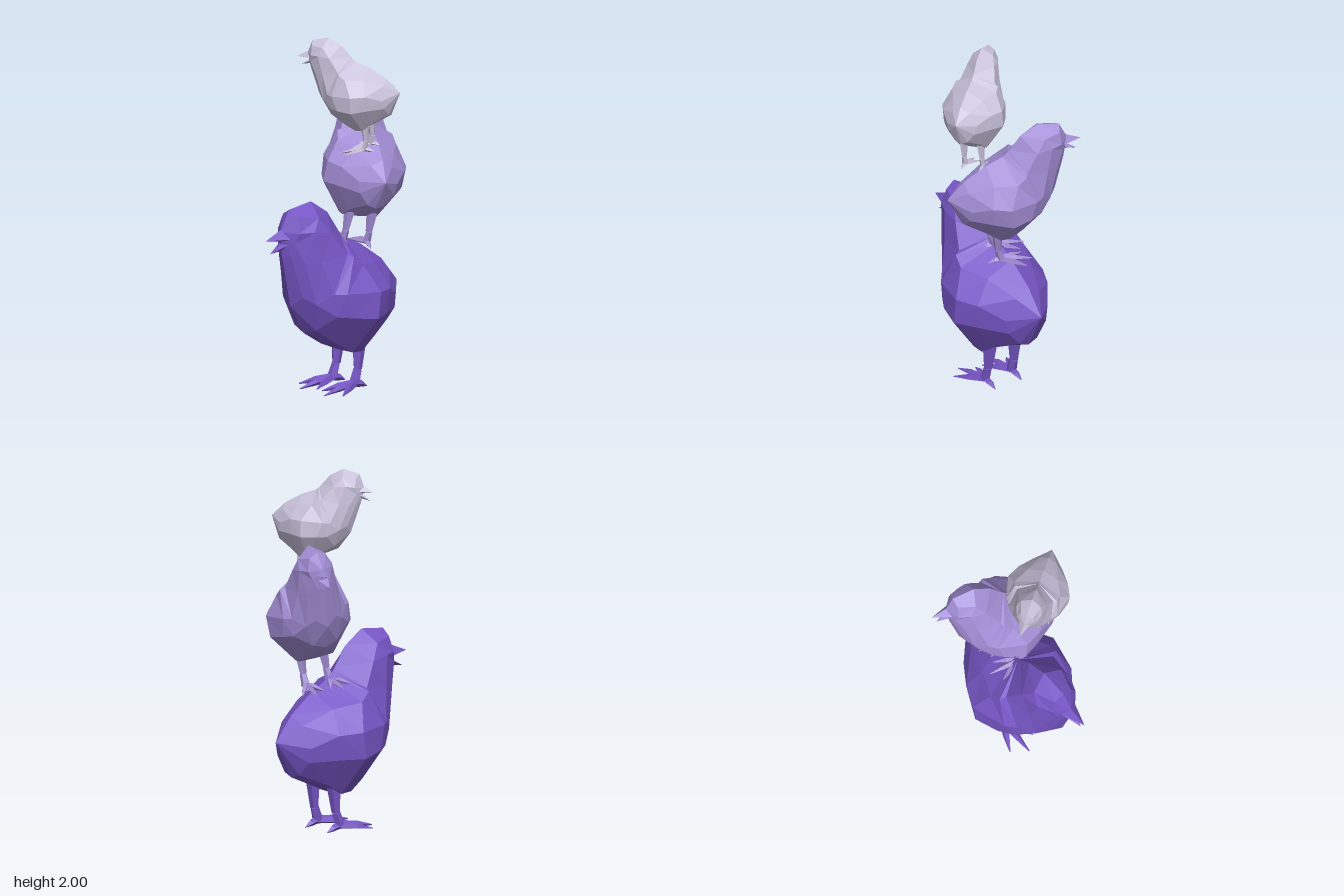
import * as THREE from 'three';
import { ConvexGeometry } from 'three/addons/geometries/ConvexGeometry.js';

const V = (x, y, z) => new THREE.Vector3(x, y, z);

// Half cross-sections from rump to face; each runs from the top centre down one side to the bottom centre.
const SECTIONS = [
  [[0, .68, -.365], [.08, .63, -.355], [.145, .51, -.345], [.13, .43, -.35], [.06, .35, -.36], [0, .33, -.365]],
  [[0, .79, -.21], [.15, .71, -.19], [.24, .58, -.22], [.235, .44, -.2], [.12, .28, -.2], [0, .26, -.21]],
  [[0, .85, -.09], [.22, .74, -.04], [.3, .59, -.1], [.3, .44, -.08], [.13, .22, -.11], [0, .215, -.11]],
  [[0, .88, -.06], [.21, .79, .02], [.25, .6, .1], [.26, .46, .06], [.13, .225, -.04], [0, .22, -.04]],
  [[0, .9, -.045], [.175, .8, .035], [.205, .6, .155], [.21, .47, .14], [.12, .28, .05], [0, .28, .08]],
  [[0, 1.01, .03], [.135, .93, .12], [.15, .78, .2], [.14, .54, .23], [.09, .38, .19], [0, .35, .2]],
  [[0, 1.09, .15], [.1, 1.02, .18], [.125, .95, .23], [.105, .78, .285], [.08, .58, .28], [0, .52, .3]],
  [[0, 1.07, .31], [.06, 1.035, .3], [.09, .95, .31], [.07, .89, .33], [.05, .82, .34], [0, .81, .36]],
];
const TAIL_TIP = [0, .54, -.48];
const FACE_CENTRE = [0, .95, .375];

// Faceted body lofted through the mirrored cross-sections.
function bodyGeometry() {
  const rings = SECTIONS.map(h => [...h, ...h.slice(1, 5).reverse().map(([x, y, z]) => [-x, y, z])]);
  const n = rings[0].length, pos = [];
  const tri = (...pts) => pts.forEach(p => pos.push(...p));
  for (let j = 0; j < n; j++) {
    const k = (j + 1) % n, last = rings[rings.length - 1];
    tri(TAIL_TIP, rings[0][j], rings[0][k]);
    tri(FACE_CENTRE, last[k], last[j]);
    for (let i = 0; i < rings.length - 1; i++) {
      const a = rings[i][j], b = rings[i][k], c = rings[i + 1][k], d = rings[i + 1][j];
      if (j < n / 2) { tri(a, d, c); tri(a, c, b); }
      else { tri(a, d, b); tri(b, d, c); }
    }
  }
  const g = new THREE.BufferGeometry();
  g.setAttribute('position', new THREE.Float32BufferAttribute(pos, 3));
  g.computeVertexNormals();
  return g;
}

// Tapered limb with few sides between two points.
function limb(a, b, ra, rb, sides = 5) {
  const dir = b.clone().sub(a);
  const g = new THREE.CylinderGeometry(rb, ra, dir.length(), sides);
  g.applyQuaternion(new THREE.Quaternion().setFromUnitVectors(V(0, 1, 0), dir.normalize()));
  const mid = a.clone().add(b).multiplyScalar(.5);
  return g.translate(mid.x, mid.y, mid.z);
}

function createChick(name, material) {
  const chick = new THREE.Group();
  chick.name = name;
  const add = (partName, geometry) => {
    const mesh = new THREE.Mesh(geometry, material);
    mesh.name = partName;
    chick.add(mesh);
  };
  add('body', bodyGeometry());

  // Open beak
  add('upperBeak', new ConvexGeometry([V(0, .97, .36), V(.055, .915, .33), V(-.055, .915, .33), V(0, .895, .35), V(0, .92, .48)]));
  add('lowerBeak', new ConvexGeometry([V(0, .9, .34), V(.045, .89, .33), V(-.045, .89, .33), V(0, .85, .345), V(0, .84, .45)]));

  // Legs, each with three front toes and one back toe
  for (const s of [1, -1]) {
    const side = s > 0 ? 'left' : 'right';
    const knee = V(s * .088, .11, -.115);
    const ankle = V(s * .09, .035, -.09);
    add(side + 'Thigh', limb(V(s * .085, .25, -.125), knee, .04, .024));
    add(side + 'Shin', limb(knee, ankle, .024, .03));
    const toes = [[.1, .005, .14], [.182, .008, .075], [.022, .008, .085], [.09, .005, -.18]];
    toes.forEach(([x, y, z], i) => {
      const tip = V(s * x, y, z);
      const knuckle = ankle.clone().lerp(tip, .5).setY(.025);
      add(side + 'Toe' + (i + 1), limb(ankle, knuckle, .022, .02, 4));
      add(side + 'Claw' + (i + 1), limb(knuckle, tip, .02, .003, 4));
    });
  }
  return chick;
}

export function createModel() {
  const model = new THREE.Group();
  model.name = 'chickTower';
  const paint = (name, color) => {
    const m = new THREE.MeshStandardMaterial({ color, flatShading: true });
    m.name = name;
    return m;
  };
  // Name, material, size, position, and rotation as forward tilt, turn, sideways lean
  const chicks = [
    ['bottomChick', paint('deepViolet', 0x7756c6), 1, [-.01, 0, 0], [0, 0, 0]],
    ['middleChick', paint('lavender', 0xa48fd7), .785, [-.036, .8, -.154], [0, -1.917, .16]],
    ['topChick', paint('paleLilac', 0xc8c1da), .596, [.123, 1.368, -.085], [.108, -1.072, -.08]],
  ];
  for (const [name, material, size, position, rotation] of chicks) {
    const chick = createChick(name, material);
    chick.scale.setScalar(size);
    chick.position.set(...position);
    chick.rotation.set(...rotation, 'YXZ');
    model.add(chick);
  }
  return model;
}
